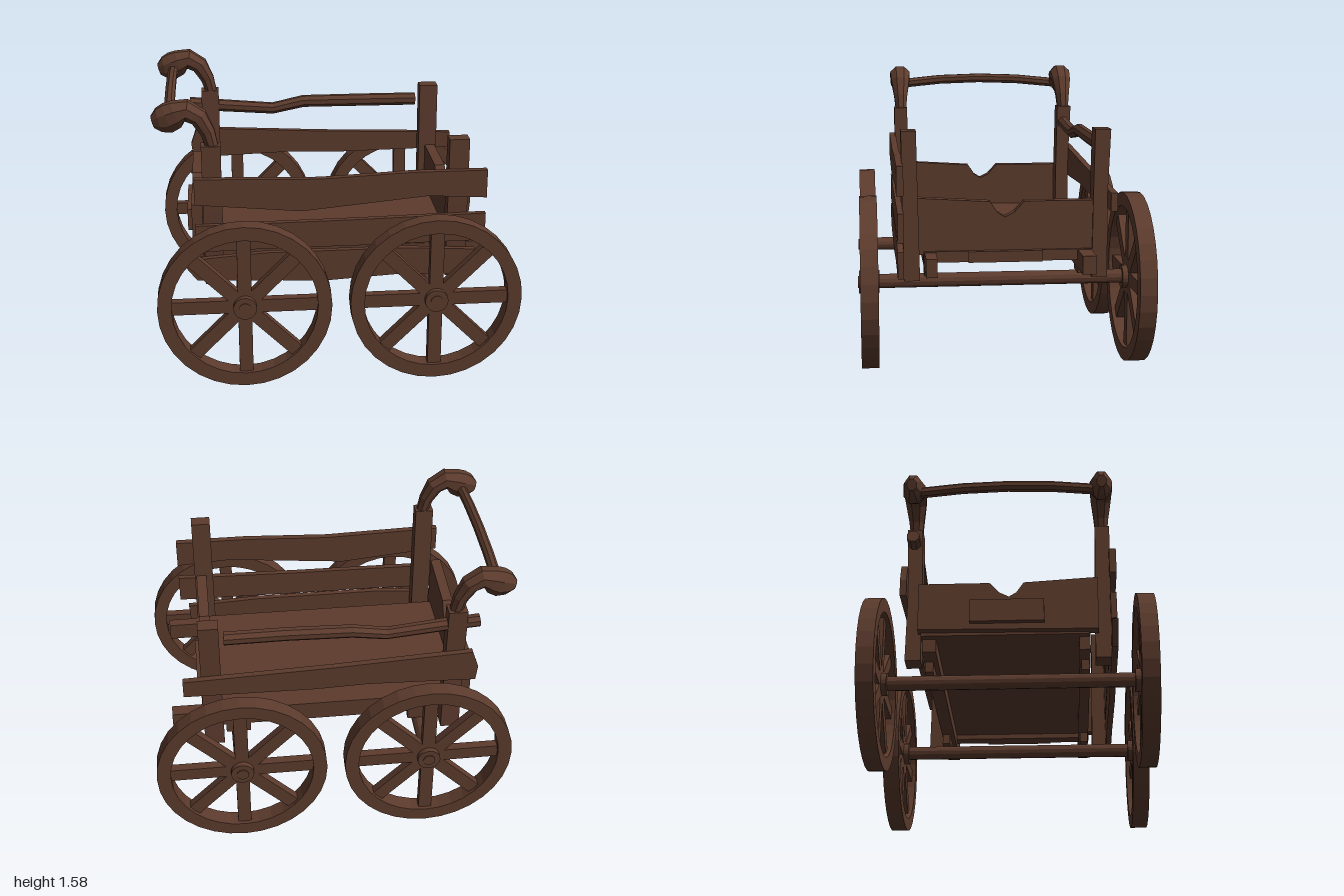
import * as THREE from 'three';

const wood = new THREE.MeshStandardMaterial({ color: 0x5c3b2d });
wood.name = 'dark brown wood';

export function createModel() {
  const cart = new THREE.Group();
  cart.name = 'woodenCart';

  // Adds a faceted mesh
  function add(name, geo, parent = cart) {
    const g = geo.index ? geo.toNonIndexed() : geo;
    g.computeVertexNormals();
    const mesh = new THREE.Mesh(g, wood);
    mesh.name = name;
    parent.add(mesh);
    return mesh;
  }

  function box(name, x0, x1, y0, y1, z0, z1) {
    const g = new THREE.BoxGeometry(x1 - x0, y1 - y0, z1 - z0);
    return add(name, g.translate((x0 + x1) / 2, (y0 + y1) / 2, (z0 + z1) / 2));
  }

  const outline = (pts) => new THREE.Shape(pts.map(([a, b]) => new THREE.Vector2(a, b)));
  const extrude = (shape, depth) =>
    new THREE.ExtrudeGeometry(shape, { depth, bevelEnabled: false, curveSegments: 16 });

  // Board outlined in x,y
  function sideBoard(name, pts, z0, z1) {
    return add(name, extrude(outline(pts), z1 - z0).translate(0, 0, z0));
  }

  // Board outlined in z,y
  function endBoard(name, pts, x0, x1) {
    return add(name, extrude(outline(pts), x1 - x0).rotateY(-Math.PI / 2).translate(x1, 0, 0));
  }

  // Octagonal sweep through [x, y, z, radius, radius along side]
  function sweep(name, pts, side) {
    const n = 8, pos = [], idx = [];
    const centre = pts.map((p) => new THREE.Vector3(p[0], p[1], p[2]));
    pts.forEach((p, i) => {
      const t = centre[Math.min(i + 1, pts.length - 1)].clone().sub(centre[Math.max(i - 1, 0)]).normalize();
      const up = t.cross(side).normalize();
      for (let j = 0; j < n; j++) {
        const a = ((j + 0.5) / n) * Math.PI * 2;
        const v = centre[i].clone()
          .addScaledVector(side, Math.cos(a) * (p[4] ?? p[3]))
          .addScaledVector(up, Math.sin(a) * p[3]);
        pos.push(v.x, v.y, v.z);
      }
    });
    const last = (pts.length - 1) * n;
    for (let i = 0; i < last; i += n) {
      for (let j = 0; j < n; j++) {
        const k = (j + 1) % n;
        idx.push(i + j, i + k, i + n + j, i + k, i + n + k, i + n + j);
      }
    }
    for (let j = 1; j < n - 1; j++) idx.push(0, j + 1, j, last, last + j, last + j + 1);
    const g = new THREE.BufferGeometry();
    g.setAttribute('position', new THREE.Float32BufferAttribute(pos, 3));
    g.setIndex(idx);
    return add(name, g);
  }

  // Wheels
  function wheel(x, z) {
    const w = new THREE.Group();
    w.name = 'wheel';
    const rim = new THREE.Shape().absarc(0, 0, 0.475, 0, Math.PI * 2);
    rim.holes.push(new THREE.Path().absarc(0, 0, 0.398, 0, Math.PI * 2, true));
    add('rim', extrude(rim, 0.094).translate(0, 0, -0.047), w);
    for (let i = 0; i < 4; i++) {
      add('spokePair', new THREE.BoxGeometry(0.82, 0.075, 0.05).rotateZ((i * Math.PI) / 4), w);
    }
    add('hub', new THREE.CylinderGeometry(0.064, 0.064, 0.112, 20).rotateX(Math.PI / 2), w);
    add('axleCap', new THREE.CylinderGeometry(0.034, 0.034, 0.124, 12).rotateX(Math.PI / 2), w);
    w.position.set(x, 0.477, z);
    cart.add(w);
  }
  for (const x of [-0.525, 0.525]) {
    for (const z of [-0.732, 0.732]) wheel(x, z);
    const axle = add('axle', new THREE.CylinderGeometry(0.04, 0.04, 1.4, 12).rotateX(Math.PI / 2));
    axle.position.set(x, 0.48, 0);
    box('axleBlock', x - 0.07, x + 0.07, 0.515, 0.59, 0.385, 0.43);
    box('axleBlock', x - 0.07, x + 0.07, 0.515, 0.59, -0.465, -0.42);
  }

  // Bed and its long beams
  box('bedFloor', -0.76, 0.68, 0.65, 0.69, -0.475, 0.43);
  box('bedBeam', -0.72, 0.895, 0.575, 0.675, 0.375, 0.435);
  box('bedBeam', -0.72, 0.895, 0.575, 0.675, -0.47, -0.395);
  box('endCleat', 0.65, 0.725, 0.62, 0.68, -0.475, 0.44);
  box('endCleat', 0.7, 0.745, 0.62, 0.68, -0.2, 0.2);
  box('endCleat', -0.83, -0.79, 0.7, 0.83, -0.21, 0.19);

  // Notched end panels
  const panel = [
    [0.48, 0.66], [0.48, 0.97], [0.08, 0.945], [0.04, 0.885], [0, 0.86],
    [-0.05, 0.885], [-0.105, 0.945], [-0.49, 0.945], [-0.49, 0.67],
  ];
  endBoard('endPanel', panel, 0.65, 0.71);
  endBoard('endPanel', panel, -0.8, -0.74);

  // Corner posts
  const postLeft = [[0.46, 0.52], [0.545, 0.52], [0.552, 0.95], [0.555, 1.33], [0.475, 1.33], [0.468, 0.95]];
  const postRight = [[-0.475, 0.52], [-0.56, 0.52], [-0.555, 0.95], [-0.57, 1.33], [-0.485, 1.33], [-0.478, 0.95]];
  for (const [x0, x1] of [[-0.735, -0.63], [0.61, 0.72]]) {
    endBoard('cornerPost', postLeft, x0, x1);
    endBoard('cornerPost', postRight, x0, x1);
  }

  // Side boards
  sideBoard('upperBoard', [
    [-0.78, 1.01], [-0.2, 0.955], [0.5, 1.02], [0.82, 1.0], [0.82, 1.16], [0.4, 1.16], [-0.1, 1.138], [-0.78, 1.157],
  ], 0.547, 0.585);
  sideBoard('middleBoard', [
    [-0.78, 0.73], [-0.4, 0.738], [0.1, 0.738], [0.82, 0.745], [0.82, 0.905], [0.1, 0.892], [-0.78, 0.885],
  ], 0.547, 0.58);
  sideBoard('lowerBoard', [
    [-0.87, 0.68], [-0.78, 0.56], [-0.35, 0.545], [-0.1, 0.53], [0.35, 0.555], [0.76, 0.54],
    [0.77, 0.69], [0.35, 0.713], [-0.4, 0.713],
  ], 0.547, 0.58);
  sideBoard('backBoard', [
    [-0.8, 0.88], [-0.2, 0.9], [0.1, 0.89], [0.82, 0.9], [0.82, 1.0], [0, 1.03], [-0.775, 1.072], [-0.81, 0.97],
  ], -0.592, -0.556);

  // Crooked side rail
  const zAxis = new THREE.Vector3(0, 0, 1);
  sweep('sideRail', [
    [-0.81, 1.245, -0.53, 0.037], [-0.6, 1.225, -0.525, 0.037], [-0.3, 1.198, -0.53, 0.035],
    [-0.11, 1.235, -0.54, 0.037], [0.25, 1.237, -0.53, 0.038], [0.585, 1.235, -0.53, 0.038],
  ], zAxis);

  // Curled handle ends and the bar between them
  for (const z of [0.512, -0.525]) {
    sweep('handleCurl', [
      [-0.675, 1.32, z, 0.036, 0.036], [-0.695, 1.4, z, 0.042, 0.045], [-0.74, 1.485, z, 0.052, 0.06],
      [-0.805, 1.525, z, 0.06, 0.066], [-0.86, 1.505, z, 0.078, 0.066], [-0.905, 1.485, z, 0.085, 0.06],
      [-0.95, 1.475, z, 0.07, 0.048], [-0.985, 1.465, z, 0.035, 0.028],
    ], zAxis);
  }
  sweep('handleBar', [-0.51, -0.25, 0, 0.25, 0.51].map((z) =>
    [-0.9, 1.497 - 0.13 * z * z, z, 0.03]), new THREE.Vector3(1, 0, 0));

  return cart;
}
